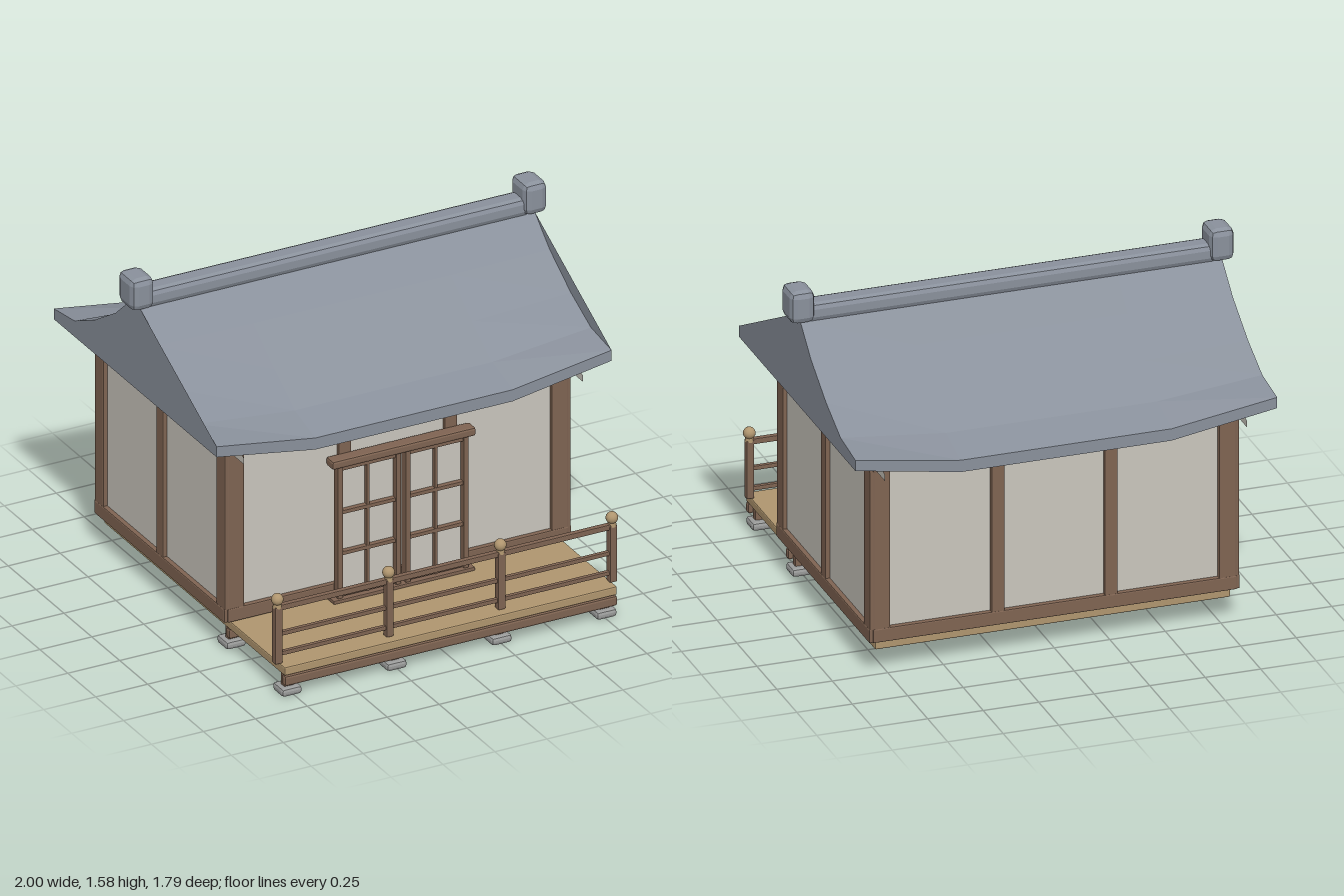
import * as THREE from 'three';
import { RoundedBoxGeometry } from 'three/addons/geometries/RoundedBoxGeometry.js';

const mat = (name, color, extra = {}) => {
  const m = new THREE.MeshStandardMaterial({ color, ...extra });
  m.name = name;
  return m;
};

export function createModel() {
  const roofMat = mat('roof slate', 0x8a919c, { flatShading: true, side: THREE.DoubleSide });
  const wood = mat('dark wood', 0x7f6452);
  const tan = mat('light wood', 0xb0966f);
  const paper = mat('plaster', 0xcac6bd, { side: THREE.DoubleSide });
  const stone = mat('stone', 0x9a9b9a);

  const model = new THREE.Group();
  model.name = 'veranda house';
  const group = (name, parent = model) => {
    const g = new THREE.Group();
    g.name = name;
    parent.add(g);
    return g;
  };
  const add = (parent, name, geo, material, x = 0, y = 0, z = 0) => {
    const m = new THREE.Mesh(geo, material);
    m.name = name;
    m.position.set(x, y, z);
    parent.add(m);
    return m;
  };
  // Box given by its limits, with chamfered edges when c > 0
  const block = (parent, name, material, x0, x1, y0, y1, z0, z1, c = 0.006) => {
    const s = [x1 - x0, y1 - y0, z1 - z0];
    const geo = c ? new RoundedBoxGeometry(...s, 1, c) : new THREE.BoxGeometry(...s);
    if (c) geo.computeVertexNormals();
    return add(parent, name, geo, material, (x0 + x1) / 2, (y0 + y1) / 2, (z0 + z1) / 2);
  };

  // Deck on beams, short posts and stone feet
  const base = group('base');
  block(base, 'deck', tan, -0.8, 0.8, 0.11, 0.15, -0.73, 0.89);
  for (const z of [0.84, 0.34]) {
    block(base, 'deckBeam', wood, -0.8, 0.8, 0.06, 0.108, z + 0.02, z + 0.055, 0.01);
    for (const x of [-0.76, -0.255, 0.25, 0.755]) {
      block(base, 'footPost', wood, x - 0.025, x + 0.025, 0.035, 0.11, z - 0.015, z + 0.02);
      block(base, 'footStone', stone, x - 0.048, x + 0.048, 0.005, 0.043, z - 0.048, z + 0.048, 0.014);
    }
  }

  // Framed walls: w is the wall length, studs are inner post positions
  const wall = (name, w, studs, x, z, turn) => {
    const g = group(name);
    const h = w / 2;
    block(g, 'wallPanel', paper, -h + 0.02, h - 0.02, 0.17, 1.0, -0.03, -0.012, 0);
    block(g, 'topRail', wood, -h, h, 0.95, 1.02, -0.035, 0.01);
    block(g, 'bottomRail', wood, -h, h, 0.155, 0.22, -0.035, 0.01);
    for (const s of [-h + 0.04, ...studs, h - 0.04]) {
      const r = Math.abs(s) > h - 0.05 ? 0.04 : 0.03;
      block(g, 'wallPost', wood, s - r, s + r, 0.16, 1.015, -0.035, 0.008);
    }
    g.position.set(x, 0, z);
    g.rotation.y = turn;
  };
  const midZ = -0.17;
  wall('frontWall', 1.64, [-0.255, 0.255], 0, 0.41, 0);
  wall('backWall', 1.64, [-0.255, 0.255], 0, -0.75, Math.PI);
  wall('leftWall', 1.17, [0], 0.825, midZ, Math.PI / 2);
  wall('rightWall', 1.17, [0], -0.825, midZ, -Math.PI / 2);

  // Pair of lattice doors with lintel and sill
  const door = group('doors');
  block(door, 'lintel', wood, -0.345, 0.345, 0.79, 0.83, 0.41, 0.475, 0.01);
  block(door, 'sill', wood, -0.34, 0.34, 0.15, 0.167, 0.41, 0.475, 0.004);
  for (const s of [-1, 1]) {
    const leaf = group(s < 0 ? 'rightDoor' : 'leftDoor', door);
    const cx = s * 0.163;
    block(leaf, 'pane', paper, cx - 0.145, cx + 0.145, 0.17, 0.78, 0.425, 0.434, 0);
    for (const dx of [-0.14, 0, 0.14]) {
      const r = dx ? 0.012 : 0.007;
      block(leaf, 'stile', wood, cx + dx - r, cx + dx + r, 0.167, 0.79, 0.425, dx ? 0.465 : 0.455, 0.003);
    }
    for (const y of [0.18, 0.375, 0.57, 0.778])
      block(leaf, 'crossbar', wood, cx - 0.15, cx + 0.15, y - 0.009, y + 0.009, 0.425, 0.457, 0.003);
  }

  // Railing with round finials
  const rail = group('railing');
  const railZ = 0.833;
  for (const [y, r] of [[0.413, 0.013], [0.287, 0.01], [0.193, 0.01]])
    block(rail, 'handrail', wood, -0.805, 0.805, y - r, y + r, railZ - r, railZ + r, 0.004);
  for (const x of [-0.805, -0.27, 0.268, 0.805]) {
    block(rail, 'railPost', wood, x - 0.018, x + 0.018, 0.15, 0.42, railZ - 0.018, railZ + 0.018);
    add(rail, 'finialNeck', new THREE.CylinderGeometry(0.018, 0.02, 0.02, 12), tan, x, 0.422, railZ);
    add(rail, 'finial', new THREE.SphereGeometry(0.027, 14, 10), tan, x, 0.452, railZ);
  }

  // Roof: rows [distance from ridge, height at the ends, sag in the middle]
  const roof = group('roof');
  const rows = [[0.73, 1.09, 0.073], [0.545, 1.115, 0.05], [0.365, 1.2, 0.022], [0.175, 1.32, 0.006], [0.04, 1.44, 0]];
  const section = [
    [midZ + 0.73, 1.04, 0.078],
    ...rows.map(([d, y, s]) => [midZ + d, y, s]),
    ...rows.slice().reverse().map(([d, y, s]) => [midZ - d, y, s]),
    [midZ - 0.73, 1.04, 0.078],
    [midZ + 0.73, 1.04, 0.078],
  ];
  const xs = [-0.95, -0.475, 0, 0.475, 0.95];
  const pos = [], idx = [];
  for (const [z, y, sag] of section)
    for (const x of xs) pos.push(x, Math.abs(x) > 0.9 ? y : y - sag, z);
  for (let r = 0; r < section.length - 1; r++)
    for (let c = 0; c < 4; c++) {
      const a = r * 5 + c, b = a + 5;
      idx.push(a, a + 1, b, a + 1, b + 1, b);
    }
  const shell = new THREE.BufferGeometry();
  shell.setAttribute('position', new THREE.Float32BufferAttribute(pos, 3));
  shell.setIndex(idx);
  shell.computeVertexNormals();
  add(roof, 'roofShell', shell, roofMat);

  // End gables: straight at the front, curved at the back (shape x = -z)
  const outline = [[0.56, 1.04], [0.56, 1.09], [-0.13, 1.44],
    ...rows.slice().reverse().map(([d, y]) => [midZ - d, y]), [midZ - 0.73, 1.04]];
  const gable = new THREE.ShapeGeometry(new THREE.Shape(outline.map(([z, y]) => new THREE.Vector2(-z, y))));
  gable.rotateY(Math.PI / 2);
  // Plaster infill under the gables
  const infill = new THREE.ShapeGeometry(new THREE.Shape(
    [[0.555, 0.97], [0.555, 1.0], [0.38, 1.05], [midZ, 1.3], [-0.72, 1.05], [-0.895, 1.0], [-0.895, 0.97]]
      .map(([z, y]) => new THREE.Vector2(-z, y))));
  infill.rotateY(Math.PI / 2);
  for (const s of [-1, 1]) {
    add(roof, 'gable', gable, roofMat, s * 0.95);
    add(roof, 'gableInfill', infill, paper, s * 0.815);
    block(roof, 'ridgeEnd', roofMat, s * 0.945 - 0.055, s * 0.945 + 0.055, 1.437, 1.587, midZ - 0.073, midZ + 0.073, 0.03);
  }
  block(roof, 'ridgeBeam', roofMat, -0.93, 0.93, 1.43, 1.515, midZ - 0.052, midZ + 0.052, 0.025);
  return model;
}
